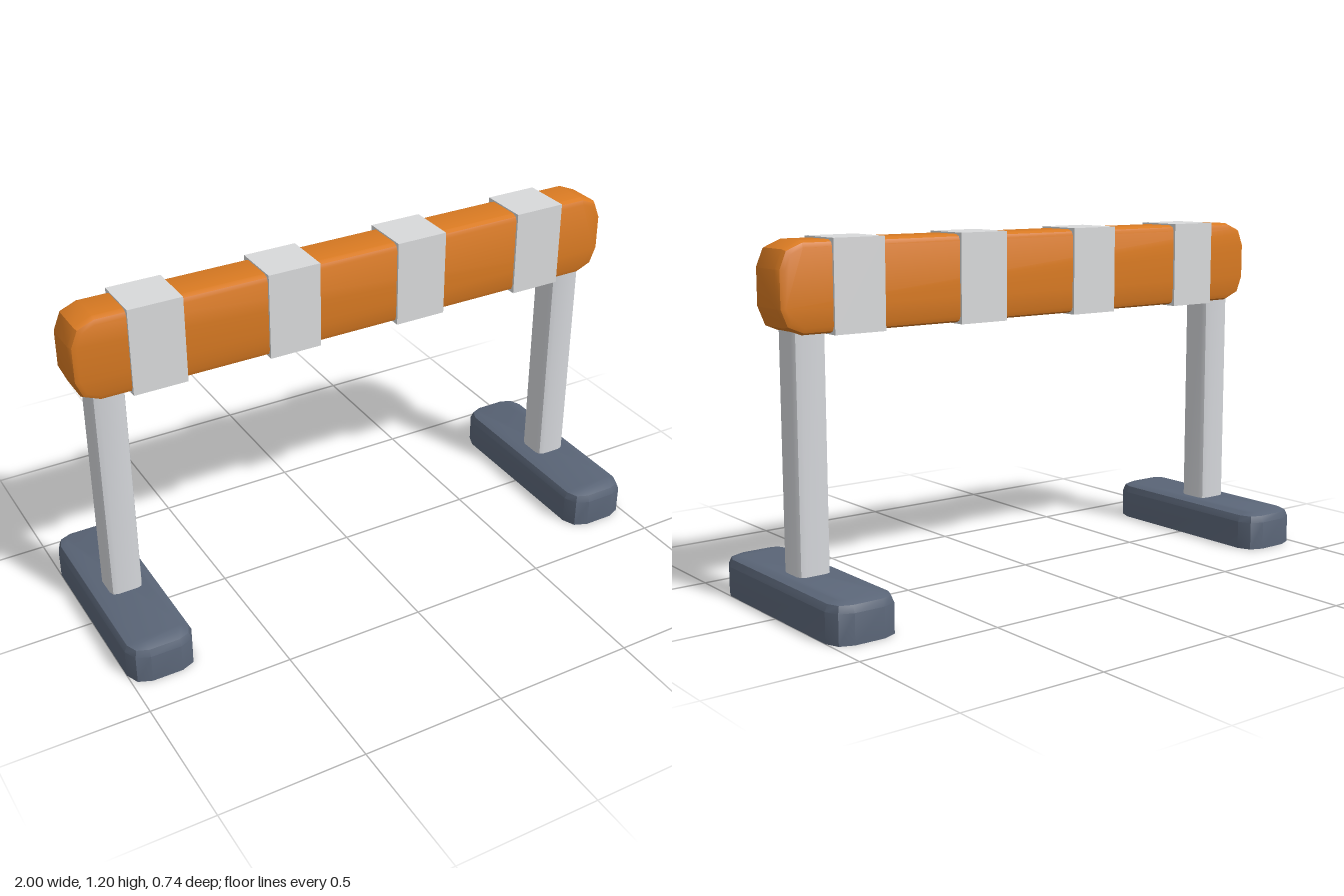
import * as THREE from 'three';
import { toCreasedNormals } from 'three/addons/utils/BufferGeometryUtils.js';

const material = (name, color) => {
  const m = new THREE.MeshStandardMaterial({ color });
  m.name = name;
  return m;
};

// Rounded rectangle in XZ; each corner is an arc of two chords
function roundedRing(hx, hz, r, y) {
  const points = [];
  for (let q = 0; q < 4; q++) {
    const sx = q === 0 || q === 3 ? 1 : -1;
    const sz = q < 2 ? 1 : -1;
    for (let k = 0; k <= 2; k++) {
      const a = (q + k / 2) * Math.PI / 2;
      points.push([sx * (hx - r) + r * Math.cos(a), y, sz * (hz - r) + r * Math.sin(a)]);
    }
  }
  return points;
}

// Stack of rounded rectangles; levels are [y, inset] from bottom to top
function roundedSolid(hx, hz, r, levels) {
  const rings = levels.map(([y, inset]) => roundedRing(hx - inset, hz - inset, r - inset, y));
  const n = rings[0].length;
  const index = [];
  for (let i = 0; i < rings.length - 1; i++) {
    for (let j = 0; j < n; j++) {
      const a = i * n + j, b = i * n + (j + 1) % n;
      index.push(a, a + n, b, b, a + n, b + n);
    }
  }
  const top = (rings.length - 1) * n;
  for (let j = 1; j < n - 1; j++) {
    index.push(0, j, j + 1, top, top + j + 1, top + j);
  }
  const geo = new THREE.BufferGeometry();
  geo.setAttribute('position', new THREE.Float32BufferAttribute(rings.flat(2), 3));
  geo.setIndex(index);
  return toCreasedNormals(geo, 0.5);
}

export function createModel() {
  const group = new THREE.Group();
  group.name = 'barrier';
  const orange = material('orange', 0xd97a22);
  const white = material('pale grey', 0xd8d9da);
  const steel = material('post grey', 0xd4d6da);
  const slate = material('slate', 0x5a6577);

  const add = (name, geo, mat, x, y) => {
    const mesh = new THREE.Mesh(geo, mat);
    mesh.name = name;
    mesh.position.set(x, y, 0);
    group.add(mesh);
  };

  // Crossbar with rounded ends and softened long edges
  const beam = roundedSolid(1, 0.145, 0.085, [
    [-0.08, 0.022], [-0.074, 0.007], [-0.058, 0], [0.058, 0], [0.074, 0.007], [0.08, 0.022],
  ]);
  beam.rotateX(Math.PI / 2);
  add('crossbar', beam, orange, 0, 1.045);

  // Stripe sleeves wrapped around the crossbar
  const sleeve = new THREE.BoxGeometry(0.186, 0.3, 0.176);
  [-0.72, -0.24, 0.24, 0.72].forEach((x, i) => add(`stripe${i + 1}`, sleeve, white, x, 1.045));

  // Posts and feet, mirrored
  const post = roundedSolid(0.058, 0.058, 0.023, [[0.12, 0], [0.93, 0]]);
  const foot = roundedSolid(0.118, 0.372, 0.065, [[0, 0], [0.1, 0], [0.123, 0.01], [0.133, 0.035]]);
  for (const [side, s] of [['left', 1], ['right', -1]]) {
    add(`${side}Post`, post, steel, s * 0.882, 0);
    add(`${side}Foot`, foot, slate, s * 0.882, 0);
  }
  return group;
}
